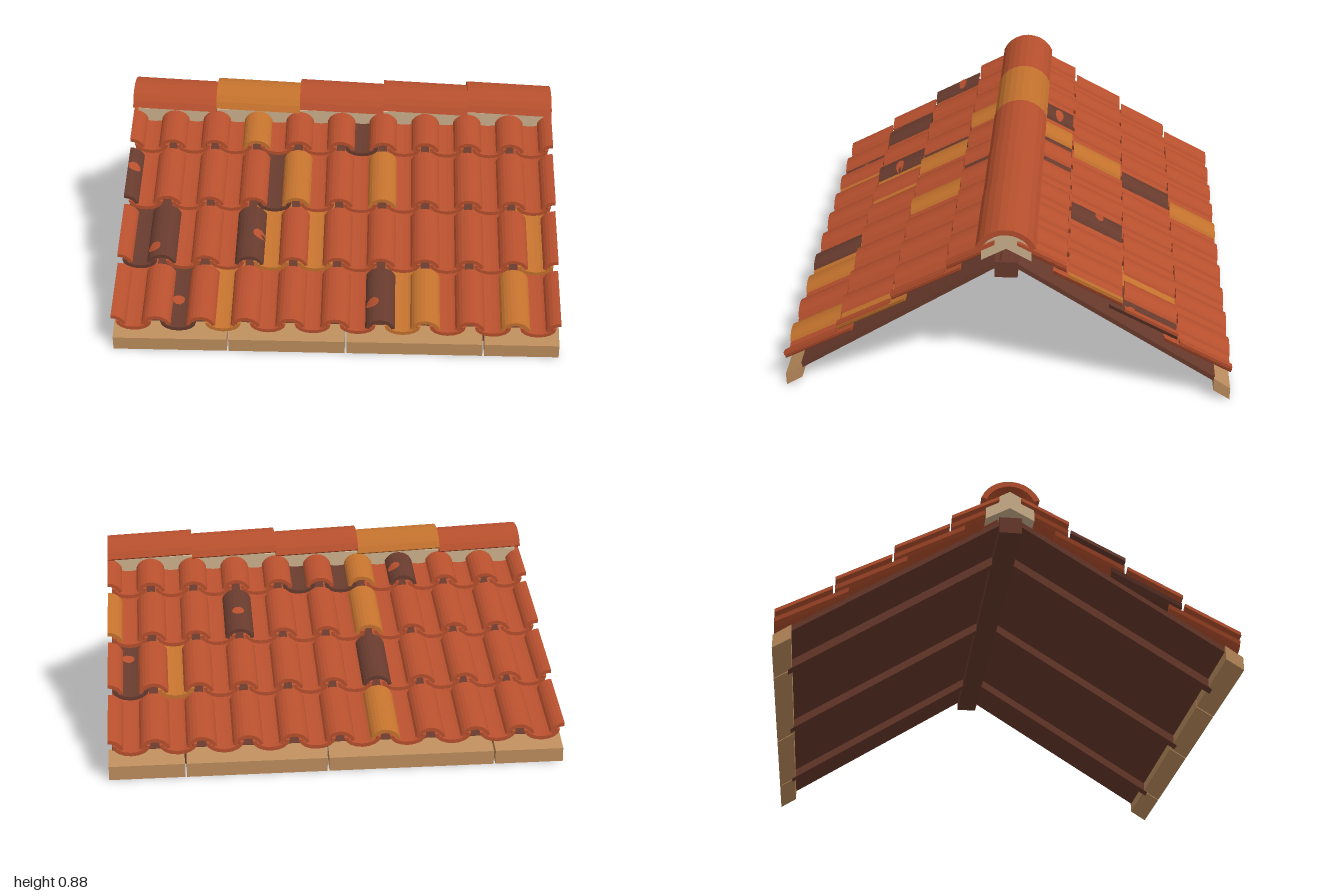
import * as THREE from 'three';

const mat = (name, color) => {
  const m = new THREE.MeshStandardMaterial({ color });
  m.name = name;
  return m;
};

export function createModel() {
  const terracotta = mat('terracotta', 0xb54f2d);
  const ochre = mat('ochre clay', 0xc2712d);
  const burnt = mat('burnt clay', 0x663a2d);
  const timber = mat('dark timber', 0x67392b);
  const tan = mat('tan wood', 0xbb8c5c);
  const mortar = mat('mortar', 0xccb08c);

  const roof = new THREE.Group();
  roof.name = 'tiledRoof';

  const add = (parent, name, geometry, material) => {
    const mesh = new THREE.Mesh(geometry, material);
    mesh.name = name;
    parent.add(mesh);
    return mesh;
  };

  // Curved band: half-width w, height h (negative for a trough), thickness t
  const bandShape = (w, h, t, a0, a1, segments) => {
    const outer = [], inner = [];
    const s = Math.sign(h);
    for (let i = 0; i <= segments; i++) {
      const a = a0 + ((a1 - a0) * i) / segments;
      outer.push(new THREE.Vector2(w * Math.cos(a), h * Math.sin(a)));
      inner.unshift(new THREE.Vector2((w - t) * Math.cos(a), (h - s * t) * Math.sin(a)));
    }
    return new THREE.Shape([...outer, ...inner]);
  };

  // Moves a vertex by a rule, then refreshes the normals
  const bend = (geometry, rule) => {
    const p = geometry.attributes.position;
    for (let i = 0; i < p.count; i++) p.setY(i, p.getY(i) + rule(p.getX(i), p.getZ(i)));
    geometry.computeVertexNormals();
    return geometry;
  };

  // Section given as [z, y] points, run along x
  const alongX = (points, x0, x1) => {
    const shape = new THREE.Shape(points.map(([z, y]) => new THREE.Vector2(-z, y)));
    return new THREE.ExtrudeGeometry(shape, { depth: x1 - x0, bevelEnabled: false })
      .rotateY(Math.PI / 2).translate(x0, 0, 0);
  };

  // Tile with its lower end at z = 0, rising towards -z
  const TILE_SLOPE = 0.53;
  const tile = (shape, length) => bend(
    new THREE.ExtrudeGeometry(shape, { depth: length, bevelEnabled: false }).translate(0, 0, -length),
    (x, z) => -z * TILE_SLOPE);

  const H = Math.PI / 2, EDGE = 0.3;
  const coverShape = (a0, a1, n) => bandShape(0.069, 0.06, 0.016, a0, a1, n);
  const shapes = {
    cover: coverShape(EDGE, Math.PI - EDGE, 10),
    coverAtMinusX: coverShape(EDGE, H, 5),
    coverAtPlusX: coverShape(H, Math.PI - EDGE, 5),
    pan: bandShape(0.08, -0.045, 0.016, 0, Math.PI, 8),
  };

  // Odd-coloured tiles per slope and row (eave first), as tile centres in x.
  // Even tenths are covers, odd tenths are pans.
  const slopes = [
    {
      name: 'frontSlope', side: 1, joints: [-0.483, 0.047, 0.663],
      ochre: [[-0.5, 0.3, 0.4, 0.8], [-0.3, -0.1, 0.9], [-0.2, 0.2], [-0.4]],
      burnt: [[-0.7, 0.2], [-0.9, -0.8, -0.4], [-1, -0.3], [0.1]],
      spots: [[-0.71, 0.88, 0], [0.165, 0.915, 0], [-0.835, 0.71, 1], [-0.36, 0.64, 1], [-0.97, 0.36, 2]],
    },
    {
      name: 'backSlope', side: -1, joints: [-0.69, 0.05, 0.67],
      ochre: [[-0.2], [0.7], [-0.2, 1], [-0.2]],
      burnt: [[], [-0.2, 0.9], [0.4], [-0.4, -0.1, 0.1]],
      spots: [[0.4, 0.4, 2], [0.91, 0.55, 1], [-0.365, 0.19, 3]],
    },
  ];

  const rowZ = r => 1 - r * 0.247;
  const rowY = r => 0.12 + r * 0.168;

  for (const def of slopes) {
    const slope = new THREE.Group();
    slope.name = def.name;
    if (def.side < 0) slope.rotation.y = Math.PI;
    roof.add(slope);

    // Four courses: pans run on under the course above, covers stop just short of it
    for (let r = 0; r < 4; r++) {
      const geo = {};
      for (const key in shapes) {
        geo[key] = tile(shapes[key], r === 3 ? 0.21 : key === 'pan' ? 0.305 : 0.238);
      }
      for (let i = -10; i <= 10; i++) {
        const worldX = i / 10, x = worldX * def.side;
        const isCover = i % 2 === 0;
        const kind = !isCover ? 'pan' : x === -1 ? 'coverAtMinusX' : x === 1 ? 'coverAtPlusX' : 'cover';
        const material = def.ochre[r].includes(worldX) ? ochre
          : def.burnt[r].includes(worldX) ? burnt : terracotta;
        const mesh = add(slope, isCover ? 'coverTile' : 'panTile', geo[kind], material);
        mesh.position.set(x, rowY(r) + (isCover ? 0 : 0.03), rowZ(r));
      }
    }

    // Thin worn spots following the tile curve
    for (const [wx, z, r] of def.spots) {
      const centre = Math.round(wx * 10) / 10;
      const isCover = Math.round(centre * 10) % 2 === 0;
      const dx = (wx - centre) * def.side;
      const spot = new THREE.CircleGeometry(0.026, 10).scale(1.1, 0.8, 1).rotateX(-H).translate(dx, 0, 0);
      bend(spot, (x, dz) => {
        const curve = isCover
          ? 0.06 * Math.sqrt(Math.max(0, 1 - (x / 0.069) ** 2))
          : 0.03 - 0.029 * Math.sqrt(Math.max(0, 1 - (x / 0.064) ** 2));
        return curve - dz * TILE_SLOPE + 0.004;
      });
      add(slope, 'wornSpot', spot, terracotta)
        .position.set(centre * def.side, rowY(r) + (rowZ(r) - z) * TILE_SLOPE, z);
    }

    // Thin sloping deck and the rafters under it
    const top = z => 0.71 - 0.645 * z;
    const strip = (z0, z1, from, to) =>
      [[z0, top(z0) - from], [z1, top(z1) - from], [z1, top(z1) - to], [z0, top(z0) - to]];
    add(slope, 'deck', alongX(strip(0.02, 0.93, 0, 0.025), -0.985, 0.985), timber);
    for (const x of [-0.68, 0, 0.68]) {
      add(slope, 'rafter', alongX(strip(0.03, 0.94, 0.02, 0.066), x - 0.025, x + 0.025), timber);
    }

    // Eave boards with narrow joints
    const ends = [-1, ...def.joints.map(x => x * def.side).sort((a, b) => a - b), 1];
    for (let i = 0; i < 4; i++) {
      const section = [[1, 0], [1, 0.06], [0.925, 0.112], [0.925, 0.048]];
      add(slope, 'eaveBoard', alongX(section, ends[i] + (i ? 0.004 : 0), ends[i + 1] - (i < 3 ? 0.004 : 0)), tan);
    }
  }

  // Ridge beam and mortar bed
  add(roof, 'ridgeBeam', new THREE.BoxGeometry(1.99, 0.077, 0.1), timber).position.y = 0.653;
  add(roof, 'mortarBed', alongX(
    [[0, 0.835], [0.108, 0.772], [0.108, 0.69], [0, 0.75], [-0.108, 0.69], [-0.108, 0.772]], -0.98, 0.98), mortar);

  // Five ridge caps, each dipping towards +x
  const arc = bandShape(0.14, 0.14, 0.025, H - 1.19, H + 1.19, 10);
  const capGeometry = bend(
    new THREE.ExtrudeGeometry(arc, { depth: 0.4, bevelEnabled: false }).rotateY(H),
    x => -0.05 * x);
  for (let i = 0; i < 5; i++) {
    add(roof, 'ridgeCap', capGeometry, i === 1 ? ochre : terracotta).position.set(-1 + i * 0.4, 0.735, 0);
  }

  return roof;
}
